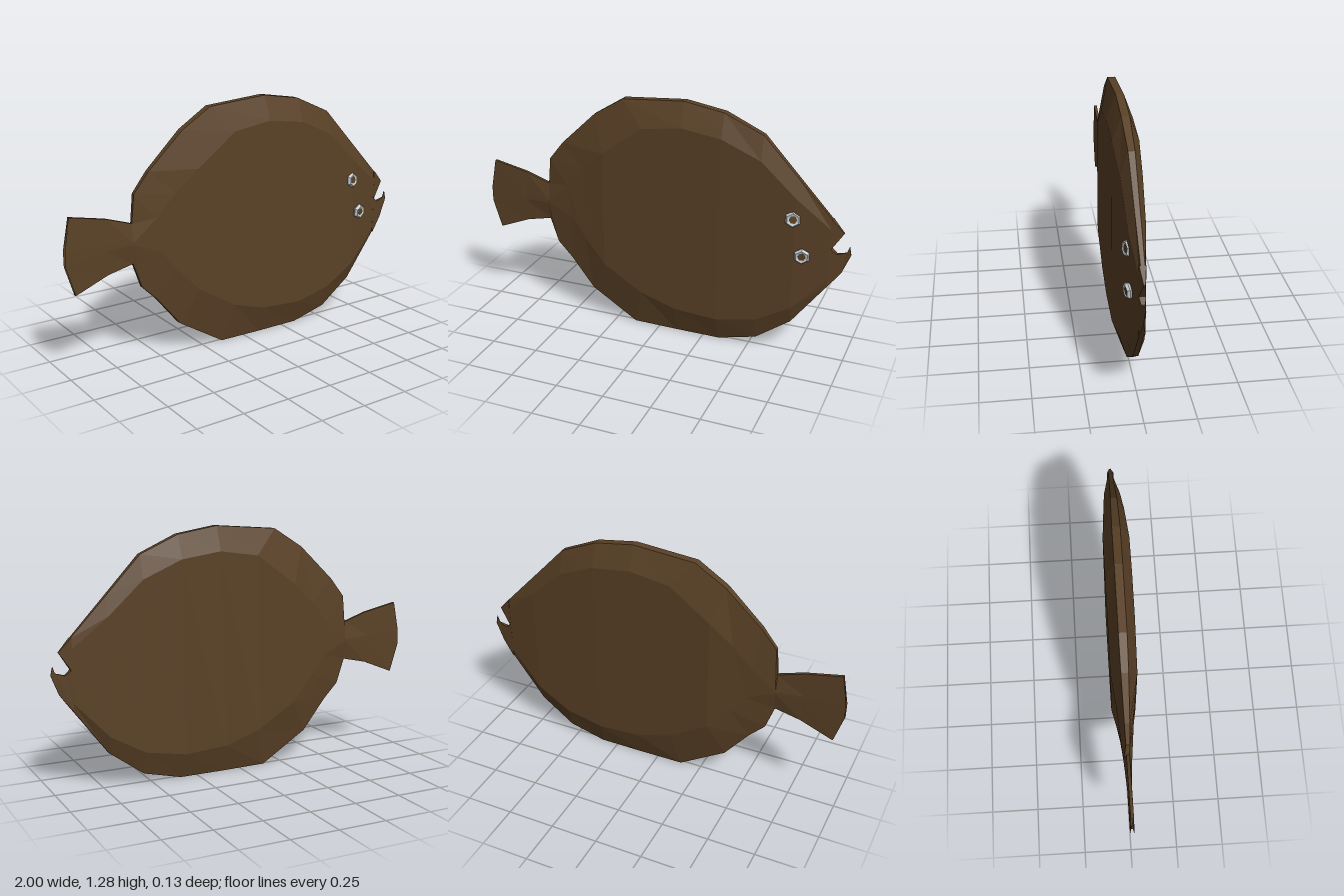
import * as THREE from 'three';

const skin = new THREE.MeshStandardMaterial({ name: 'brown skin', color: 0x5a4126, flatShading: true });
const eyeWhite = new THREE.MeshStandardMaterial({ name: 'pale eye', color: 0xc6cacd, flatShading: true });

// Each station: top edge, top shoulder, bottom shoulder, bottom edge (x, y), shoulder z, edge z
const tailStations = [
  [-0.97, 0.82, -1, 0.66, -1, 0.58, -0.955, 0.43, 0.01, 0.008],
  [-0.78, 0.78, -0.79, 0.65, -0.79, 0.62, -0.78, 0.5, 0.012, 0.008],
  [-0.645, 0.735, -0.645, 0.64, -0.645, 0.63, -0.645, 0.53, 0.022, 0.008],
];
const bodyStations = [
  tailStations[2],
  [-0.63, 0.88, -0.52, 0.75, -0.5, 0.57, -0.6, 0.4, 0.035, 0.01],
  [-0.55, 0.98, -0.42, 0.86, -0.42, 0.47, -0.52, 0.32, 0.046, 0.013],
  [-0.36, 1.16, -0.3, 0.97, -0.3, 0.34, -0.39, 0.16, 0.065, 0.018],
  [-0.2, 1.26, -0.08, 1.13, -0.09, 0.21, -0.14, 0.005, 0.065, 0.02],
  [0.13, 1.285, 0.13, 1.16, 0.1, 0.15, 0.1, 0.002, 0.065, 0.02],
  [0.34, 1.25, 0.34, 1.13, 0.33, 0.135, 0.34, 0.002, 0.065, 0.02],
  [0.54, 1.16, 0.54, 1.04, 0.54, 0.17, 0.54, 0.05, 0.052, 0.016],
  [0.72, 0.967, 0.72, 0.87, 0.72, 0.27, 0.72, 0.18, 0.042, 0.013],
  [0.9, 0.775, 0.9, 0.72, 0.9, 0.46, 0.9, 0.42, 0.016, 0.01],
];

// Eight-sided section mirrored across the flat of the fish
function section([tx, ty, ax, ay, bx, by, ex, ey, z, e]) {
  const side = [[tx, ty, e], [ax, ay, z], [bx, by, z], [ex, ey, e]];
  return [...side, ...side.map(([x, y, d]) => [x, y, -d]).reverse()];
}

// Skin the sections and close both ends
function loft(name, stations) {
  const rings = stations.map(section), pos = [];
  const tri = (a, b, c) => pos.push(...a, ...b, ...c);
  for (let i = 0; i < rings.length - 1; i++) {
    for (let j = 0; j < 8; j++) {
      const k = (j + 1) % 8;
      tri(rings[i][j], rings[i][k], rings[i + 1][k]);
      tri(rings[i][j], rings[i + 1][k], rings[i + 1][j]);
    }
  }
  const first = rings[0], last = rings[rings.length - 1];
  for (let j = 1; j < 7; j++) {
    tri(first[0], first[j + 1], first[j]);
    tri(last[0], last[j], last[j + 1]);
  }
  const geo = new THREE.BufferGeometry();
  geo.setAttribute('position', new THREE.Float32BufferAttribute(pos, 3));
  geo.computeVertexNormals();
  const mesh = new THREE.Mesh(geo, skin);
  mesh.name = name;
  return mesh;
}

// Flat jaw plate that thins towards the tip
function jaw(name, points) {
  const shape = new THREE.Shape(points.map(([x, y]) => new THREE.Vector2(x, y)));
  const geo = new THREE.ExtrudeGeometry(shape, { depth: 1, bevelEnabled: false });
  const p = geo.attributes.position;
  for (let i = 0; i < p.count; i++) {
    const half = Math.max(0.002, 0.016 - (p.getX(i) - 0.9) * 0.2);
    p.setZ(i, (p.getZ(i) - 0.5) * 2 * half);
  }
  geo.computeVertexNormals();
  const mesh = new THREE.Mesh(geo, skin);
  mesh.name = name;
  return mesh;
}

// Raised pale ring with a brown centre
function eye(name, x, y, z, tiltX, tiltY) {
  const group = new THREE.Group();
  group.name = name;
  const ring = new THREE.Mesh(new THREE.TorusGeometry(0.029, 0.014, 5, 6), eyeWhite);
  ring.name = 'eyeRing';
  const pupil = new THREE.Mesh(new THREE.CylinderGeometry(0.021, 0.021, 0.008, 6), skin);
  pupil.name = 'pupil';
  pupil.rotation.x = Math.PI / 2;
  pupil.position.z = 0.006;
  group.add(ring, pupil);
  group.position.set(x, y, z);
  group.rotation.set(tiltX, tiltY, Math.PI / 6);
  return group;
}

export function createModel() {
  const fish = new THREE.Group();
  fish.name = 'flatfish';
  fish.add(
    loft('tailFin', tailStations),
    loft('body', bodyStations),
    jaw('upperJaw', [[0.895, 0.62], [0.902, 0.62], [0.96, 0.71], [0.9, 0.775], [0.895, 0.775]]),
    jaw('lowerJaw', [[0.895, 0.42], [0.9, 0.42], [0.96, 0.5], [1, 0.6], [0.99, 0.645],
      [0.978, 0.61], [0.93, 0.595], [0.9, 0.62], [0.895, 0.62]]),
    eye('upperEye', 0.71, 0.76, 0.042, -0.1, 0.25),
    eye('lowerEye', 0.765, 0.572, 0.046, 0.05, 0.2),
  );
  return fish;
}
